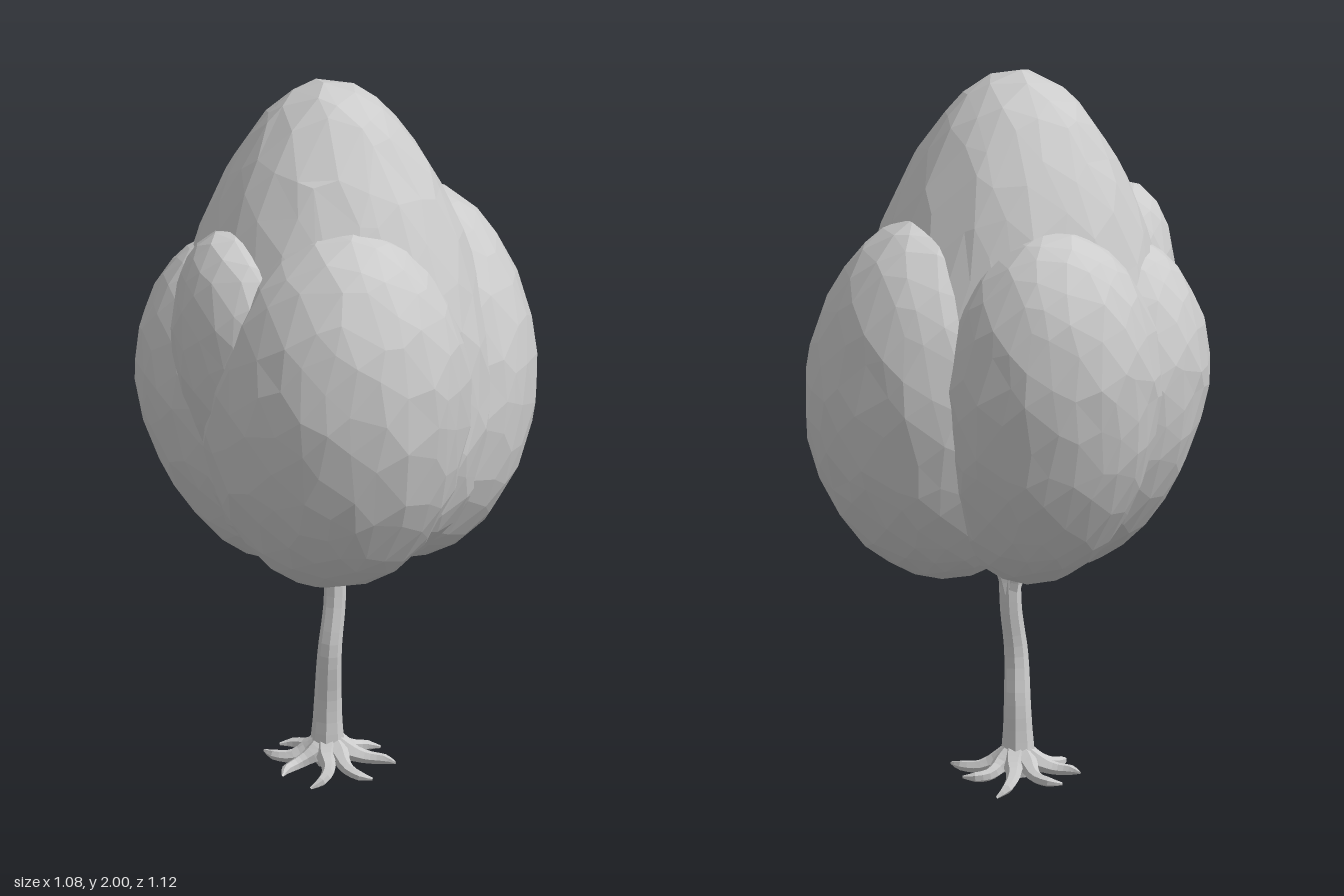
import * as THREE from 'three';

const material = new THREE.MeshStandardMaterial({ color: 0xcccccc, flatShading: true, side: THREE.DoubleSide });
const V = (x, y, z) => new THREE.Vector3(x, y, z);

// Repeatable pseudo-noise in -0.5..0.5, identical for coincident corners
function noise(p, k) {
  const r = (n) => Math.round(n * 1000) / 1000;
  const s = Math.sin(r(p.x) * 127.1 + r(p.y) * 311.7 + r(p.z) * 74.7 + k * 19.3) * 4375.85;
  return s - Math.floor(s) - 0.5;
}

// Egg-shaped leaf mass whose axis bends from bottom through middle to tip ([x, z] each);
// widest shifts the broadest height up or down, taper narrows the upper half
function foliage(name, { y0, y1, bottom, middle, tip, radius, widest = 0, taper = 0, detail = 4 }) {
  const geo = new THREE.IcosahedronGeometry(1, detail);
  const pos = geo.attributes.position;
  const p = V(0, 0, 0);
  const axis = (i, t) => middle[i] + (tip[i] - bottom[i]) / 2 * t + ((tip[i] + bottom[i]) / 2 - middle[i]) * t * t;
  for (let i = 0; i < pos.count; i++) {
    p.fromBufferAttribute(pos, i);
    const jitter = V(noise(p, 1), noise(p, 2), noise(p, 3)).multiplyScalar(0.13);
    const swell = 1 + noise(p, 4) * 0.025;
    p.add(jitter).normalize();
    const t = p.y;
    const h = (t + 1) / 2 + widest * (1 - t * t);
    const r = radius * swell * (1 - taper * Math.max(t, 0) ** 2);
    pos.setXYZ(i, axis(0, t) + p.x * r, y0 + (y1 - y0) * h, axis(1, t) + p.z * r);
  }
  geo.computeVertexNormals();
  const mesh = new THREE.Mesh(geo, material);
  mesh.name = name;
  return mesh;
}

// Tube along a smooth path with a radius given at each evenly spaced station
function limb(name, points, radii, segments, sides) {
  const curve = new THREE.CatmullRomCurve3(points);
  const geo = new THREE.TubeGeometry(curve, segments, 1, sides);
  const pos = geo.attributes.position;
  const p = V(0, 0, 0);
  for (let i = 0; i <= segments; i++) {
    const c = curve.getPointAt(i / segments);
    const f = i / segments * (radii.length - 1);
    const a = Math.min(Math.floor(f), radii.length - 2);
    const r = THREE.MathUtils.lerp(radii[a], radii[a + 1], f - a);
    for (let j = 0; j <= sides; j++) {
      const k = i * (sides + 1) + j;
      p.fromBufferAttribute(pos, k).sub(c).multiplyScalar(r).add(c);
      pos.setXYZ(k, p.x, p.y, p.z);
    }
  }
  geo.computeVertexNormals();
  const mesh = new THREE.Mesh(geo, material);
  mesh.name = name;
  return mesh;
}

export function createModel() {
  const tree = new THREE.Group();
  tree.name = 'tree';

  // Crown: a tall central mass with lobes nearly flush around it
  const crown = new THREE.Group();
  crown.name = 'crown';
  crown.add(
    foliage('centralFoliage', { y0: 0.63, y1: 2.002, bottom: [0.02, 0.02], middle: [0, 0], tip: [-0.02, -0.02], radius: 0.435, widest: -0.12, taper: 0.1, detail: 5 }),
    foliage('frontFoliage', { y0: 0.605, y1: 1.69, bottom: [0.01, 0.13], middle: [0.02, 0.19], tip: [0.05, 0.25], radius: 0.367, widest: -0.01, taper: 0.06 }),
    foliage('leftFoliage', { y0: 0.6, y1: 1.63, bottom: [0.16, -0.1], middle: [0.2, -0.14], tip: [0.21, -0.22], radius: 0.337, widest: -0.04, taper: 0.06 }),
    foliage('backFoliage', { y0: 0.61, y1: 1.63, bottom: [-0.08, -0.17], middle: [-0.13, -0.235], tip: [-0.16, -0.3], radius: 0.318, widest: 0.02, taper: 0.04 }),
    foliage('frontRightFoliage', { y0: 0.63, y1: 1.645, bottom: [-0.06, 0.06], middle: [-0.13, 0.12], tip: [-0.27, 0.19], radius: 0.285, widest: 0.02, taper: 0.15 }),
    foliage('rightFoliage', { y0: 0.62, y1: 1.55, bottom: [-0.15, -0.01], middle: [-0.23, -0.01], tip: [-0.28, -0.01], radius: 0.307, widest: 0.03, taper: 0.1 }),
  );
  tree.add(crown);

  // Bent trunk, flaring at its foot
  tree.add(limb('trunk',
    [V(-0.02, 0.02, 0), V(-0.02, 0.1, 0.002), V(-0.018, 0.22, 0.004), V(-0.012, 0.36, 0.022), V(0, 0.5, 0.002), V(-0.002, 0.68, -0.015)],
    [0.03, 0.046, 0.04, 0.037, 0.035, 0.033, 0.031, 0.03, 0.03, 0.03, 0.03], 20, 8));

  // Short branches spreading into the crown
  for (let i = 0; i < 5; i++) {
    const a = i / 5 * Math.PI * 2 + 0.3;
    const at = (r, y) => V(Math.cos(a) * r, y, Math.sin(a) * r - 0.005);
    tree.add(limb('branch', [at(0.008, 0.54), at(0.03, 0.6), at(0.075, 0.66), at(0.12, 0.7)], [0.02, 0.018, 0.014, 0.008], 6, 5));
  }

  // Roots: [angle, reach, tip height, sideways hook]
  const roots = new THREE.Group();
  roots.name = 'roots';
  [
    [0.05, 0.185, 0.04, 0.02], [0.85, 0.16, 0.02, -0.03], [1.6, 0.155, 0.01, 0.03], [2.4, 0.17, 0.035, -0.02],
    [3.15, 0.175, 0.042, 0.025], [3.95, 0.17, 0.03, -0.03], [4.75, 0.185, 0.008, 0.02], [5.5, 0.16, 0.035, 0.03],
  ].forEach(([a, reach, tipY, hook]) => {
    const at = (r, y, s) => V(-0.018 + Math.cos(a) * r - Math.sin(a) * s, y, Math.sin(a) * r + Math.cos(a) * s);
    roots.add(limb('root',
      [at(0.01, 0.085, 0), at(0.05, 0.062, 0), at(0.1, 0.042, -hook * 0.4), at(reach * 0.85, (tipY + 0.04) / 2, 0), at(reach, tipY, hook)],
      [0.036, 0.03, 0.021, 0.017, 0.014, 0.004], 10, 6));
  });
  tree.add(roots);

  return tree;
}
